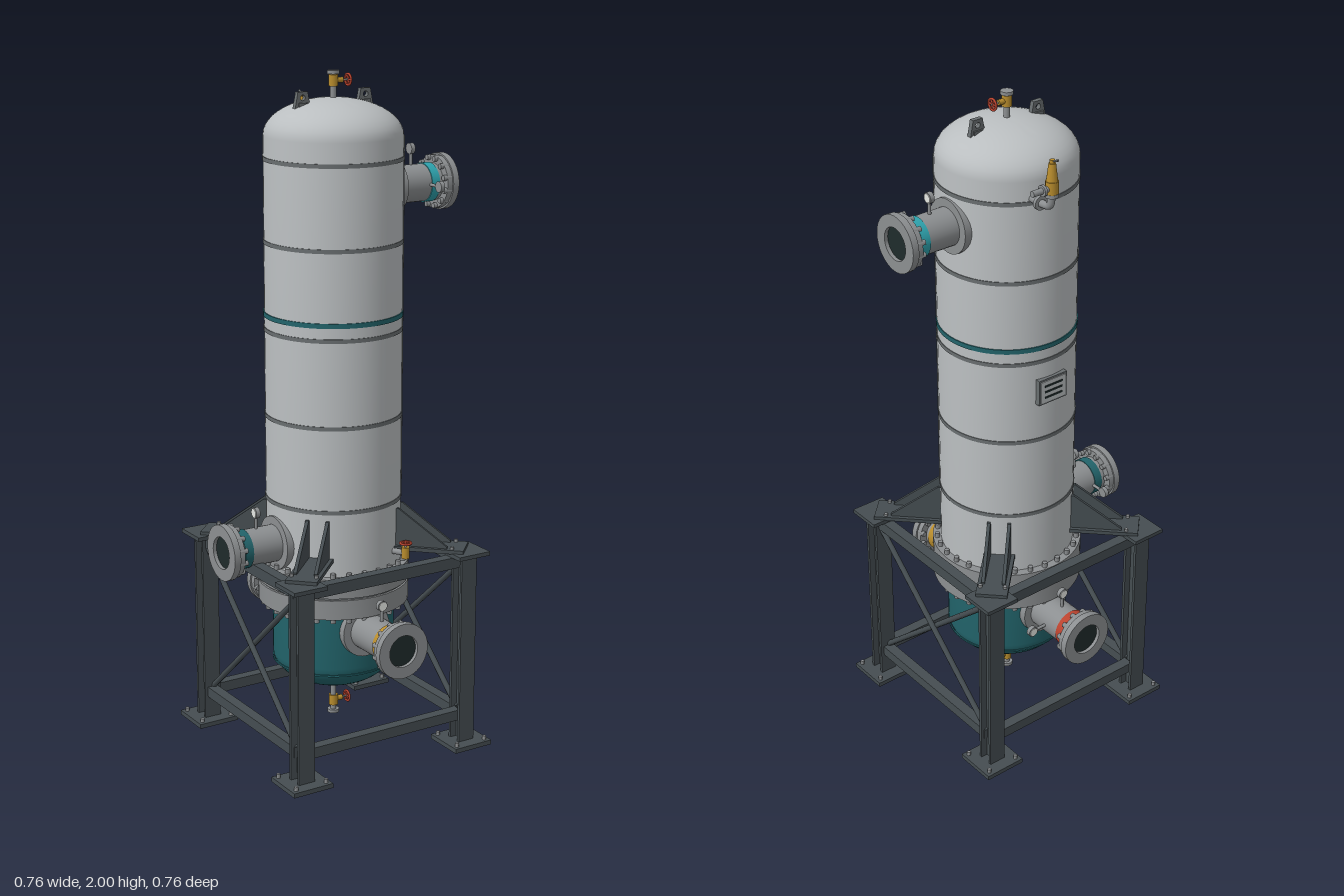
import * as THREE from 'three';
import { toCreasedNormals } from 'three/addons/utils/BufferGeometryUtils.js';

const mat = (name, color, side = THREE.FrontSide) => Object.assign(new THREE.MeshStandardMaterial({ color, side }), { name });
const V = (x, y, z) => new THREE.Vector3(x, y, z);

export function createModel() {
  const root = new THREE.Group();
  root.name = 'processColumn';
  const M = {
    shell: mat('shellGrey', 0xbabec0), steel: mat('flangeSteel', 0x8c8f91), band: mat('bandGrey', 0x696e70),
    frame: mat('frameGrey', 0x454d51), teal: mat('darkTeal', 0x22646b), cyan: mat('brightTeal', 0x2ea3ae),
    ochre: mat('ochre', 0xb98d2d), red: mat('valveRed', 0xb9432f), bore: mat('boreDark', 0x1f2b2b),
    white: mat('gaugeWhite', 0xe6e8e4),
  };

  const add = (parent, name, geo, m, p = [0, 0, 0]) => {
    const mesh = new THREE.Mesh(geo, m);
    mesh.name = name;
    mesh.position.set(...p);
    parent.add(mesh);
    return mesh;
  };
  const box = (parent, name, m, size, p) => add(parent, name, new THREE.BoxGeometry(...size), m, p);
  const group = (name, parent = root) => {
    const g = new THREE.Group();
    g.name = name;
    parent.add(g);
    return g;
  };
  // Round bar between two points
  const rod = (parent, name, m, a, b, r, r2 = r, seg = 16) => {
    const d = b.clone().sub(a);
    const mesh = add(parent, name, new THREE.CylinderGeometry(r2, r, d.length(), seg), m);
    mesh.position.copy(a).add(b).multiplyScalar(0.5);
    mesh.quaternion.setFromUnitVectors(V(0, 1, 0), d.normalize());
    return mesh;
  };
  const lathe = (pts, seg = 48) =>
    toCreasedNormals(new THREE.LatheGeometry(pts.map(p => new THREE.Vector2(...p)), seg), 0.5);
  const ring = (ri, ro, y0, y1, seg) => lathe([[ri, y0], [ro, y0], [ro, y1], [ri, y1], [ri, y0]], seg);

  // Main shell with domed head
  const shell = [[0.2, 0.55], [0.2, 1.82]];
  for (let i = 1; i <= 12; i++) {
    const a = i / 12 * Math.PI / 2;
    shell.push([0.2 * Math.cos(a), 1.82 + 0.105 * Math.sin(a)]);
  }
  add(root, 'shell', lathe(shell, 64), M.shell);
  for (const y of [0.76, 1.01, 1.265, 1.52, 1.757])
    add(root, 'shellBand', ring(0.198, 0.202, y - 0.006, y + 0.006, 64), M.band);
  add(root, 'colourBand', ring(0.198, 0.203, 1.302, 1.316, 64), M.teal);
  const seam = box(root, 'verticalSeam', M.band, [0.006, 1.06, 0.008], [0.161, 1.29, 0.118]);
  seam.rotation.y = -Math.atan2(0.118, 0.161);

  // Lower bowl
  const bowl = [];
  for (let i = 0; i <= 12; i++) {
    const a = (1 - i / 12) * Math.PI / 2;
    bowl.push([0.182 * Math.cos(a), 0.27 - 0.1 * Math.sin(a)]);
  }
  bowl.push([0.182, 0.46]);
  add(root, 'bowl', lathe(bowl, 64), M.teal);
  add(root, 'bowlSeam', ring(0.18, 0.1835, 0.247, 0.252, 64), M.teal);

  // Body flange pair with studs
  const bodyFlange = group('bodyFlange');
  add(bodyFlange, 'upperFlange', ring(0.17, 0.225, 0.507, 0.565, 64), M.steel);
  add(bodyFlange, 'gasket', ring(0.17, 0.218, 0.5, 0.508, 64), M.band);
  add(bodyFlange, 'lowerFlange', ring(0.17, 0.225, 0.442, 0.501, 64), M.steel);
  for (let i = 0; i < 28; i++) {
    const a = (i + 0.5) / 28 * Math.PI * 2, x = 0.212 * Math.cos(a), z = 0.212 * Math.sin(a);
    rod(bodyFlange, 'stud', M.steel, V(x, 0.428, z), V(x, 0.58, z), 0.008, 0.008, 6);
  }

  // Gauge on a stem; its face looks along local +z
  const gauge = (parent, dx, dy, z) => {
    const g = group('gauge', parent);
    rod(g, 'stem', M.steel, V(dx * 0.05, dy * 0.05, z), V(dx * 0.09, dy * 0.09, z), 0.005, 0.005, 8);
    const c = [dx * 0.102, dy * 0.102];
    rod(g, 'case', M.steel, V(...c, z - 0.007), V(...c, z + 0.006), 0.016);
    rod(g, 'dial', M.white, V(...c, z + 0.005), V(...c, z + 0.008), 0.013);
  };

  // Nozzle pointing along local +z
  const nozzle = (name, y, turn, start, colour, side, sideZ) => {
    const g = group(name);
    g.position.y = y;
    g.rotation.y = turn;
    rod(g, 'pipe', M.steel, V(0, 0, start - 0.03), V(0, 0, 0.366), 0.055, 0.055, 32);
    rod(g, 'pad', M.steel, V(0, 0, start - 0.02), V(0, 0, start + 0.006), 0.08, 0.08, 32);
    rod(g, 'colourBand', colour, V(0, 0, 0.304), V(0, 0, 0.331), 0.0575, 0.0575, 32);
    const parts = [['backFlange', 0.05, 0.078, 0.344, 0.361], ['faceFlange', 0.048, 0.083, 0.361, 0.381]];
    for (const [n, ...dims] of parts) add(g, n, ring(...dims, 32), M.steel).rotation.x = Math.PI / 2;
    add(g, 'bore', new THREE.CircleGeometry(0.049, 32), M.bore, [0, 0, 0.37]);
    for (let i = 0; i < 12; i++) {
      const a = (i + 0.5) / 12 * Math.PI * 2, bx = 0.071 * Math.cos(a), by = 0.071 * Math.sin(a);
      rod(g, 'bolt', M.steel, V(bx, by, 0.333), V(bx, by, 0.363), 0.0085, 0.0085, 6);
    }
    gauge(g, 0, 1, 0.265);
    gauge(g, side, 0, sideZ);
  };
  nozzle('upperNozzle', 1.66, Math.PI / 2, 0.2, M.cyan, -1, 0.3);
  nozzle('lowerNozzle', 0.64, -Math.PI / 2, 0.2, M.teal, -1, 0.3);
  nozzle('frontNozzle', 0.385, 0, 0.18, M.ochre, 1, 0.25);
  nozzle('backNozzle', 0.385, Math.PI, 0.18, M.red, -1, 0.25);

  // Support frame
  const frame = group('supportFrame');
  for (const sx of [-1, 1]) for (const sz of [-1, 1]) {
    const x = sx * 0.28, z = sz * 0.28;
    box(frame, 'basePlate', M.frame, [0.13, 0.014, 0.13], [x, 0.007, z]);
    box(frame, 'capPlate', M.frame, [0.108, 0.012, 0.108], [x, 0.606, z]);
    box(frame, 'legWeb', M.frame, [0.012, 0.59, 0.052], [x, 0.307, z]);
    for (const s of [-1, 1]) box(frame, 'legFlange', M.frame, [0.053, 0.59, 0.009], [x, 0.307, z + s * 0.022]);
    for (const bx of [-1, 1]) for (const bz of [-1, 1])
      rod(frame, 'anchorBolt', M.steel, V(x + bx * 0.05, 0.01, z + bz * 0.05), V(x + bx * 0.05, 0.026, z + bz * 0.05), 0.006, 0.006, 6);

    // Diagonal bracket with two triangular ribs
    const arm = group('bracket', frame);
    arm.rotation.y = -Math.atan2(sz, sx);
    box(arm, 'bracketPlate', M.frame, [0.22, 0.012, 0.092], [0.29, 0.616, 0]);
    const tri = new THREE.Shape([[0.17, 0.615], [0.35, 0.615], [0.35, 0.627], [0.205, 0.735], [0.17, 0.735]]
      .map(p => new THREE.Vector2(...p)));
    for (const s of [-1, 1]) {
      add(arm, 'rib', new THREE.ExtrudeGeometry(tri, { depth: 0.01, bevelEnabled: false }), M.frame, [0, 0, s * 0.03 - 0.005]);
      rod(arm, 'bracketBolt', M.steel, V(0.365, 0.615, s * 0.036), V(0.365, 0.63, s * 0.036), 0.006, 0.006, 6);
    }
  }
  for (const s of [-1, 1]) {
    for (const [y, h] of [[0.583, 0.034], [0.097, 0.032]]) {
      box(frame, 'crossBeam', M.frame, [0.53, h, 0.033], [0, y, s * 0.28]);
      box(frame, 'sideBeam', M.frame, [0.033, h, 0.53], [s * 0.28, y, 0]);
    }
    for (const d of [-1, 1]) // X braces on both sides
      rod(frame, 'brace', M.frame, V(s * 0.28 + d * 0.006, 0.11, -d * 0.262), V(s * 0.28 + d * 0.006, 0.57, d * 0.262), 0.009, 0.009, 8);
  }

  // Lifting lugs
  for (const s of [-1, 1]) {
    const plate = new THREE.Shape([[-0.026, 0], [0.026, 0], [0.016, 0.05], [-0.016, 0.05]].map(p => new THREE.Vector2(...p)));
    plate.holes.push(new THREE.Path().absarc(0, 0.033, 0.008, 0, Math.PI * 2, true));
    add(root, 'liftingLug', new THREE.ExtrudeGeometry(plate, { depth: 0.014, bevelEnabled: false }), M.band, [s * 0.104, 1.896, -0.007]);
    box(root, 'lugPad', M.band, [0.03, 0.02, 0.024], [s * 0.104, 1.905, 0]);
  }

  // Hand wheel with rim, hub and spokes
  const wheel = (parent, p, axis) => {
    const g = group('handWheel', parent);
    g.position.copy(p);
    g.quaternion.setFromUnitVectors(V(0, 0, 1), axis);
    add(g, 'rim', new THREE.TorusGeometry(0.016, 0.0035, 8, 20), M.red);
    for (let i = 0; i < 3; i++) {
      const a = i / 3 * Math.PI, c = V(Math.cos(a) * 0.016, Math.sin(a) * 0.016, 0);
      rod(g, 'spoke', M.red, c.clone().negate(), c, 0.003, 0.003, 6);
    }
  };
  // Small vertical line with valve and side wheel
  const valve = (name, y0, y1, yc, flangeY) => {
    const g = group(name);
    rod(g, 'pipe', M.steel, V(0, y0, 0), V(0, y1, 0), 0.009);
    rod(g, 'endFlange', M.steel, V(0, flangeY, 0), V(0, flangeY + 0.01, 0), 0.018);
    rod(g, 'body', M.ochre, V(0, yc - 0.016, 0), V(0, yc + 0.016, 0), 0.014);
    rod(g, 'bonnet', M.ochre, V(0, yc, 0), V(0.03, yc, 0), 0.008);
    rod(g, 'spindle', M.steel, V(0.03, yc, 0), V(0.052, yc, 0), 0.003, 0.003, 8);
    wheel(g, V(0.049, yc, 0), V(1, 0, 0));
  };
  valve('topVent', 1.91, 2.0, 1.972, 1.99);
  valve('bottomDrain', 0.06, 0.18, 0.1, 0.06);

  // Side drain valve above the body flange
  const drain = group('sideDrain');
  rod(drain, 'pipe', M.steel, V(0.09, 0.61, 0.156), V(0.12, 0.61, 0.208), 0.009);
  rod(drain, 'body', M.ochre, V(0.12, 0.594, 0.208), V(0.12, 0.628, 0.208), 0.012);
  rod(drain, 'spindle', M.steel, V(0.12, 0.62, 0.208), V(0.12, 0.642, 0.208), 0.004, 0.004, 8);
  wheel(drain, V(0.12, 0.64, 0.208), V(0, 1, 0));

  // Relief valve on a bent pipe at the back
  const relief = group('reliefValve');
  const bend = new THREE.CatmullRomCurve3([V(0.063, 1.77, -0.18), V(0.063, 1.77, -0.235), V(0.063, 1.777, -0.26), V(0.063, 1.81, -0.268)]);
  add(relief, 'inletPipe', new THREE.TubeGeometry(bend, 24, 0.011, 12), M.steel);
  rod(relief, 'pipeFlange', M.steel, V(0.063, 1.77, -0.216), V(0.063, 1.77, -0.226), 0.021);
  rod(relief, 'inletFlange', M.steel, V(0.063, 1.805, -0.268), V(0.063, 1.815, -0.268), 0.019);
  rod(relief, 'body', M.ochre, V(0.063, 1.812, -0.268), V(0.063, 1.85, -0.268), 0.018);
  rod(relief, 'bonnet', M.ochre, V(0.063, 1.85, -0.268), V(0.063, 1.9, -0.268), 0.016, 0.01);
  rod(relief, 'cap', M.ochre, V(0.063, 1.9, -0.268), V(0.063, 1.91, -0.268), 0.007);
  rod(relief, 'lever', M.band, V(0.063, 1.905, -0.268), V(0.063, 1.915, -0.292), 0.003, 0.003, 8);
  rod(relief, 'outlet', M.steel, V(0.07, 1.83, -0.268), V(0.13, 1.83, -0.268), 0.009);
  rod(relief, 'outletFlange', M.steel, V(0.09, 1.83, -0.268), V(0.098, 1.83, -0.268), 0.016);

  // Data plate on the back
  const plate = group('dataPlate');
  box(plate, 'mount', M.band, [0.1, 0.08, 0.016], [0, 1.17, -0.201]);
  box(plate, 'face', M.shell, [0.088, 0.068, 0.003], [0, 1.17, -0.21]);
  for (let i = -1; i <= 1; i++) box(plate, 'rule', M.bore, [0.064, 0.006, 0.002], [0, 1.17 + i * 0.018, -0.212]);
  return root;
}
